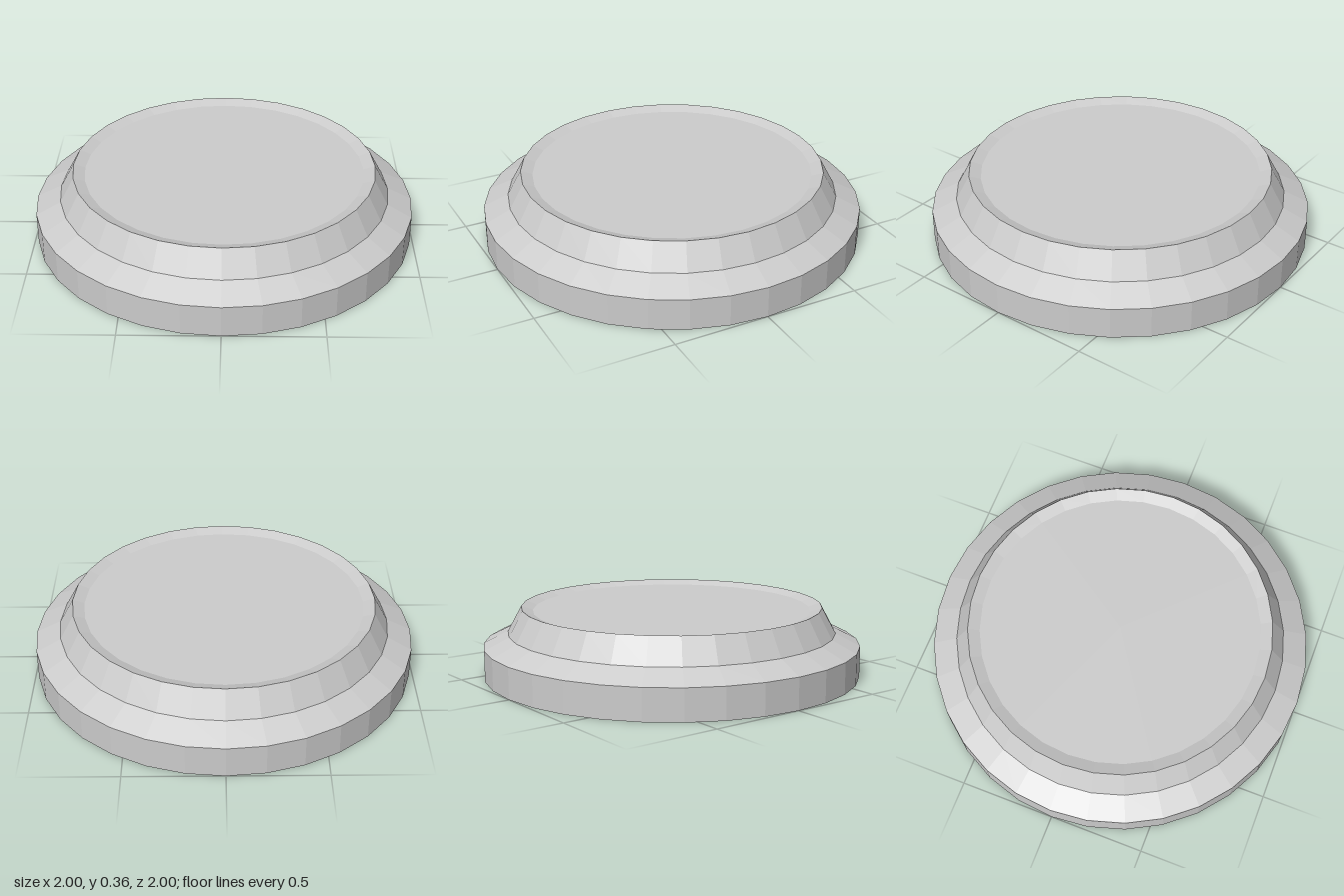
import * as THREE from 'three';

export function createModel() {
  const model = new THREE.Group();
  model.name = 'roundBase';
  const material = new THREE.MeshStandardMaterial({ color: 0xcccccc, flatShading: true });

  // Profile from the centre of the underside, out and up to the centre of the top
  const profile = [
    [0, 0.047], [0.755, 0.047], [0.85, 0],   // hollow underside
    [1, 0], [1, 0.165],                      // foot and upright wall
    [0.87, 0.23], [0.797, 0.364],            // shallow, then steep bevel
    [0.736, 0.343], [0, 0.343],              // dished top
  ].map(([r, y]) => new THREE.Vector2(r, y));

  const base = new THREE.Mesh(new THREE.LatheGeometry(profile, 32), material);
  base.name = 'base';
  model.add(base);
  return model;
}
